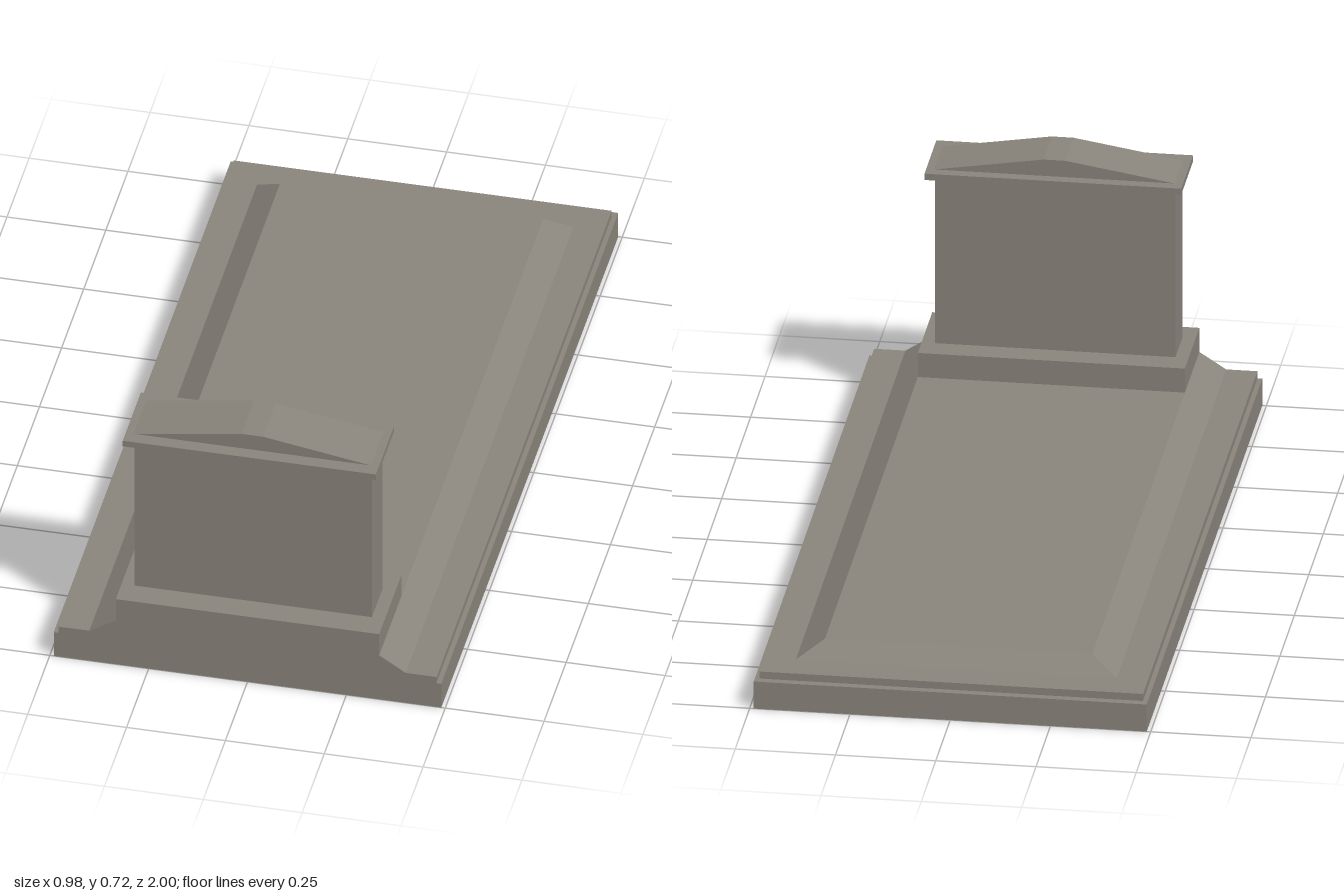
import * as THREE from 'three';

const stone = new THREE.MeshStandardMaterial({ color: 0x8a857c, side: THREE.DoubleSide });
stone.name = 'grey stone';

// Flat-shaded open surface from four-cornered faces
function quadMesh(name, quads) {
  const pos = [];
  for (const [a, b, c, d] of quads) pos.push(...a, ...b, ...c, ...a, ...c, ...d);
  const geo = new THREE.BufferGeometry();
  geo.setAttribute('position', new THREE.Float32BufferAttribute(pos, 3));
  geo.computeVertexNormals();
  const mesh = new THREE.Mesh(geo, stone);
  mesh.name = name;
  return mesh;
}

function box(name, halfWidth, y0, y1, z0, z1) {
  const geo = new THREE.BoxGeometry(halfWidth * 2, y1 - y0, z1 - z0);
  geo.translate(0, (y0 + y1) / 2, (z0 + z1) / 2);
  const mesh = new THREE.Mesh(geo, stone);
  mesh.name = name;
  return mesh;
}

export function createModel() {
  const group = new THREE.Group();
  group.name = 'graveMonument';

  // Steps of the slab: half width, back edge z, height
  const steps = [
    [0.49, -1, 0], [0.49, -1, 0.073], [0.478, -0.98, 0.073],
    [0.478, -0.98, 0.092], [0.4, -0.895, 0.092], [0.333, -0.853, 0.135],
  ];
  const rings = steps.map(([w, b, y]) => [[-w, y, 1], [-w, y, b], [w, y, b], [w, y, 1]]);
  const walls = [];
  for (let i = 0; i < rings.length - 1; i++) {
    for (let k = 0; k < 3; k++) {
      walls.push([rings[i][k], rings[i + 1][k], rings[i + 1][k + 1], rings[i][k + 1]]);
    }
  }
  group.add(quadMesh('slabEdges', walls));

  // Raised top of the slab, stopping at the plinth
  const w = 0.333, pz = 0.75, sy = 0.135, py = 0.2;
  group.add(quadMesh('slabTop', [[[-w, sy, pz], [w, sy, pz], [w, sy, -0.853], [-w, sy, -0.853]]]));

  // Hollow plinth: back, two sides and top
  group.add(quadMesh('plinth', [
    [[w, sy, pz], [-w, sy, pz], [-w, py, pz], [w, py, pz]],
    [[w, sy, 1], [w, sy, pz], [w, py, pz], [w, py, 1]],
    [[-w, sy, pz], [-w, sy, 1], [-w, py, 1], [-w, py, pz]],
    [[-w, py, 1], [w, py, 1], [w, py, pz], [-w, py, pz]],
  ]));

  // Flush front wall shared by slab and plinth
  const half = [...steps.map(([x, , y]) => [x, y]), [w, py]];
  const outline = [...half, ...half.map(([x, y]) => [-x, y]).reverse()];
  const frontGeo = new THREE.ShapeGeometry(new THREE.Shape(outline.map(([x, y]) => new THREE.Vector2(x, y))));
  frontGeo.translate(0, 0, 1);
  const front = new THREE.Mesh(frontGeo, stone);
  front.name = 'frontWall';
  group.add(front);

  // Headstone and its cap
  group.add(box('headstone', 0.3, py, 0.657, 0.815, 0.935));
  group.add(box('capSlab', 0.32, 0.657, 0.674, 0.775, 0.98));

  // Low gable with a softened peak
  const gable = new THREE.Shape();
  gable.moveTo(-0.3, 0.674);
  gable.lineTo(0.3, 0.674);
  gable.lineTo(0.027, 0.718);
  gable.lineTo(-0.027, 0.718);
  gable.closePath();
  const gableGeo = new THREE.ExtrudeGeometry(gable, { depth: 0.142, bevelEnabled: false });
  gableGeo.translate(0, 0, 0.804);
  const pediment = new THREE.Mesh(gableGeo, stone);
  pediment.name = 'pediment';
  group.add(pediment);

  return group;
}
